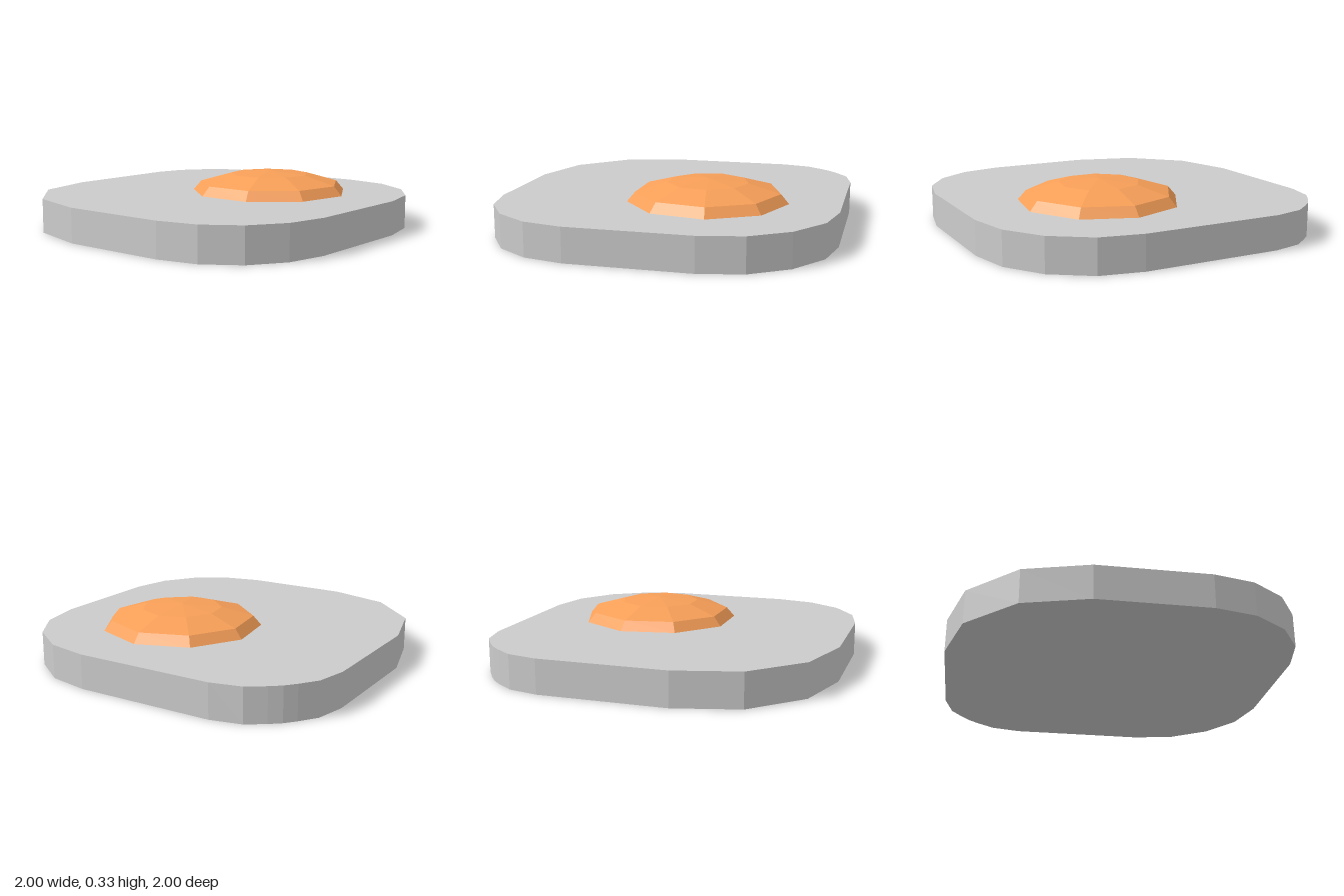
import * as THREE from 'three';

export function createModel() {
  const model = new THREE.Group();

  // Slab: rounded square with a different facet count at each corner, outline as [x, z]
  const outline = [
    [-0.5, -1], [0.33, -1], [0.58, -0.95], [0.8, -0.8], [0.945, -0.585], [1, -0.33],
    [1, 0.39], [0.95, 0.625], [0.82, 0.82], [0.625, 0.95], [0.39, 1],
    [-0.25, 1], [-0.62, 0.895], [-0.9, 0.62], [-1, 0.25],
    [-1, -0.5], [-0.96, -0.68], [-0.89, -0.78], [-0.84, -0.84], [-0.78, -0.89], [-0.68, -0.96],
  ];
  const shape = new THREE.Shape(outline.map(([x, z]) => new THREE.Vector2(x, -z)));
  const slabGeometry = new THREE.ExtrudeGeometry(shape, { depth: 0.2, bevelEnabled: false });
  slabGeometry.rotateX(-Math.PI / 2);
  const slab = new THREE.Mesh(
    slabGeometry,
    new THREE.MeshStandardMaterial({ color: 0xcccccc, flatShading: true })
  );
  slab.name = 'slab';
  model.add(slab);

  // Dome: shallow nine-sided faceted cap with one corner pointing to the back
  const profile = [[0.478, 0], [0.43, 0.056], [0.24, 0.11], [0, 0.13]]
    .map(([r, y]) => new THREE.Vector2(r, y));
  const dome = new THREE.Mesh(
    new THREE.LatheGeometry(profile, 9, Math.PI),
    new THREE.MeshStandardMaterial({ color: 0xf79f58, flatShading: true })
  );
  dome.name = 'dome';
  dome.position.set(0.2, 0.2, -0.221);
  model.add(dome);

  return model;
}
